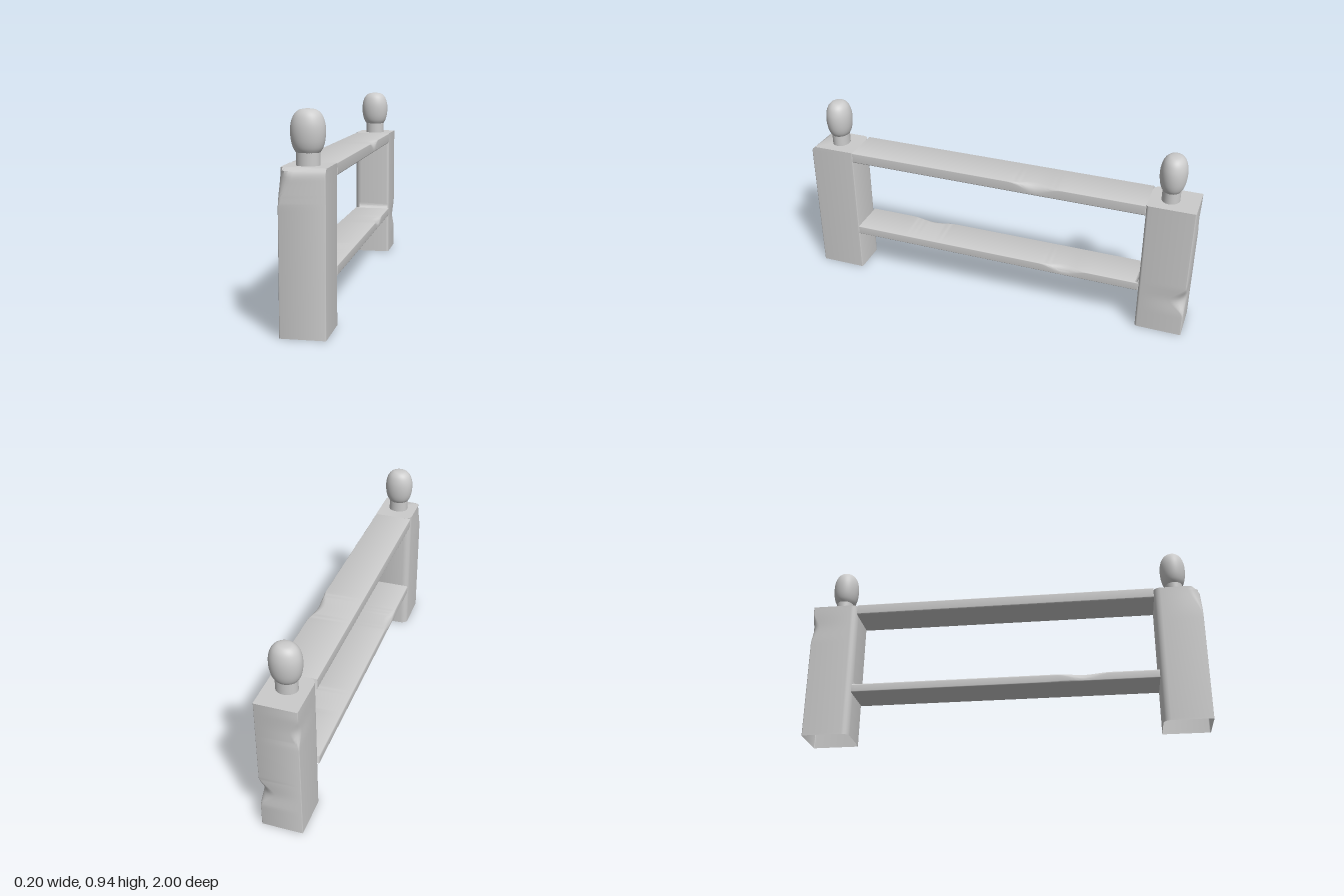
import * as THREE from 'three';
import { toCreasedNormals } from 'three/addons/utils/BufferGeometryUtils.js';

const material = new THREE.MeshStandardMaterial({ color: 0xcccccc, side: THREE.DoubleSide });

// Smooth bump of half-width w around c, used for worn chips
const bump = (t, c, w) => {
  const s = Math.max(0, 1 - Math.abs(t - c) / w);
  return s * s * (3 - 2 * s);
};

// Rectangular beam along y with a radius for each corner that may vary along it.
// Corner order: (+x,-z), (-x,-z), (-x,+z), (+x,+z).
function beam(w, d, y0, y1, radius, { capped = false, shape = null, steps = 60 } = {}) {
  const arc = 5, ring = 4 * (arc + 1), pos = [], idx = [];
  const v = new THREE.Vector3();
  for (let j = 0; j <= steps; j++) {
    const y = y0 + (y1 - y0) * j / steps;
    for (let k = 0; k < 4; k++) {
      const r = radius(k, y);
      const cx = (k === 0 || k === 3 ? 1 : -1) * (w / 2 - r);
      const cz = (k < 2 ? -1 : 1) * (d / 2 - r);
      for (let i = 0; i <= arc; i++) {
        const a = (k + i / arc) * Math.PI / 2;
        v.set(cx + r * Math.cos(a), y, cz - r * Math.sin(a));
        if (shape) shape(v);
        pos.push(v.x, v.y, v.z);
      }
    }
  }
  for (let j = 0; j < steps; j++) {
    for (let i = 0; i < ring; i++) {
      const a = j * ring + i, b = j * ring + (i + 1) % ring;
      idx.push(a, b, b + ring, a, b + ring, a + ring);
    }
  }
  if (capped) {
    const top = steps * ring;
    pos.push(0, y1, 0);
    for (let i = 0; i < ring; i++) idx.push(pos.length / 3 - 1, top + i, top + (i + 1) % ring);
  }
  const geo = new THREE.BufferGeometry();
  geo.setAttribute('position', new THREE.Float32BufferAttribute(pos, 3));
  geo.setIndex(idx);
  return toCreasedNormals(geo, 0.6);
}

export function createModel() {
  const group = new THREE.Group();
  const add = (name, geo, x = 0, y = 0, z = 0) => {
    const mesh = new THREE.Mesh(geo, material);
    mesh.name = name;
    mesh.position.set(x, y, z);
    group.add(mesh);
    return mesh;
  };
  const H = 0.71, W = 0.2, D = 0.235, inner = 0.765;

  // Front post, open below, with its top front edge worn away
  const frontRadius = (k, y) =>
    [0.006, 0.035, 0.006 + 0.06 * bump(y, H, 0.17), 0.006][k];
  const wornTop = (v) => {
    const s = Math.max(0, (v.y - 0.665) / 0.045);
    const drop = (0.03 - 0.1 * v.x) * (1 - Math.sqrt(Math.max(0, 1 - s * s)));
    if (v.z > 0) v.z = Math.min(v.z, D / 2 - drop);
  };
  add('frontPost', beam(W, D, 0, H, frontRadius, { capped: true, shape: wornTop }),
    0, 0, 1 - D / 2);

  // Back post, open below, with notched outer edges
  const backRadius = (k, y) => [
    0.005 + 0.07 * bump(y, 0.2, 0.09),
    0.005 + 0.035 * bump(y, 0.59, 0.09),
    0.035,
    0.014][k];
  add('backPost', beam(W, D, 0, H, backRadius, { capped: true }), 0, 0, -1 + D / 2);

  // Rails run along z; after turning, corners are top +x, top -x, bottom -x, bottom +x
  const rail = (name, y0, y1, radius) => {
    const geo = beam(W, y1 - y0, -inner, inner, radius, { steps: 90 });
    add(name, geo.rotateX(Math.PI / 2), 0, (y0 + y1) / 2, 0);
  };
  rail('topRail', 0.655, H, (k, z) => [
    0.004 + 0.035 * bump(z, -0.22, 0.14), 0.004, 0.008, 0.006][k]);
  rail('lowerRail', 0.219, 0.264, (k, z) => [
    0.004 + 0.032 * bump(z, -0.38, 0.13),
    0.008 + 0.028 * bump(z, 0.4, 0.13),
    0.006 + 0.003 * bump(z, 0.3, 0.1),
    0.004][k]);

  // Concave fillet where the lower rail meets the back post
  const r = 0.03;
  const corner = new THREE.Shape();
  corner.moveTo(0, 0);
  corner.lineTo(r, 0);
  corner.quadraticCurveTo(0, 0, 0, r);
  const fillet = new THREE.ExtrudeGeometry(corner, { depth: 0.17, bevelEnabled: false });
  fillet.rotateY(-Math.PI / 2);
  add('railFillet', fillet, 0.095, 0.262, -inner);

  // Knobs: short neck and an egg-shaped head, slightly flattened front to back
  const neck = new THREE.CylinderGeometry(0.051, 0.051, 0.06, 32, 1, true);
  const headCurve = new THREE.SplineCurve([
    [0.05, 0], [0.062, 0.018], [0.071, 0.047], [0.075, 0.085], [0.072, 0.122],
    [0.06, 0.155], [0.04, 0.175], [0.018, 0.181], [0, 0.182],
  ].map(([x, y]) => new THREE.Vector2(x, y)));
  const profile = headCurve.getPoints(32);
  profile[profile.length - 1].x = 0;
  const head = new THREE.LatheGeometry(profile, 40);
  for (const [side, z] of [['front', 0.875], ['back', -0.863]]) {
    add(side + 'KnobNeck', neck, 0, 0.737, z).scale.z = 0.86;
    add(side + 'KnobHead', head, 0, 0.763, z).scale.z = 0.86;
  }
  return group;
}
